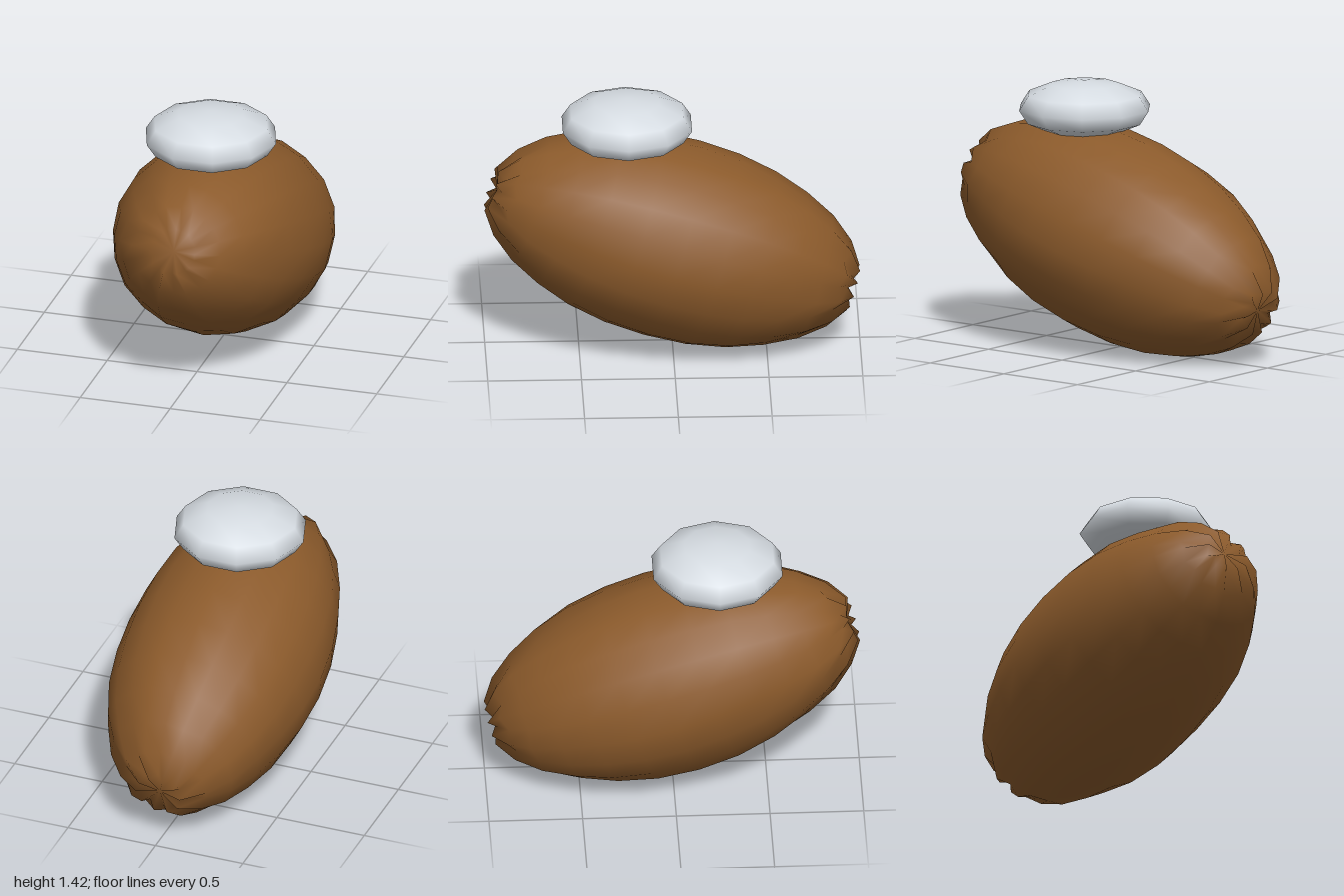
import * as THREE from 'three';
import { mergeVertices } from 'three/addons/utils/BufferGeometryUtils.js';

// Unit sphere pushed in and out by a rule, then stretched, with seamless smooth normals
function lumpySphere(cols, rows, size, bump) {
  let g = new THREE.SphereGeometry(1, cols, rows);
  g.deleteAttribute('uv');
  g.deleteAttribute('normal');
  g = mergeVertices(g, 1e-4);
  const p = g.attributes.position;
  const v = new THREE.Vector3();
  for (let i = 0; i < p.count; i++) {
    v.fromBufferAttribute(p, i);
    v.multiplyScalar(bump(v)).multiply(size);
    p.setXYZ(i, v.x, v.y, v.z);
  }
  g.computeVertexNormals();
  return g;
}

export function createModel() {
  const brown = new THREE.MeshStandardMaterial({ color: 0x8b5a2b });
  brown.name = 'brown';
  const paleGrey = new THREE.MeshStandardMaterial({ color: 0xd6dce2 });
  paleGrey.name = 'paleGrey';

  const model = new THREE.Group();
  model.name = 'lumpyBodyWithCap';

  // Long body: gentle lumps all over, puckered folds gathered at both ends
  const bodyBump = (v) => {
    const end = Math.abs(v.y);
    if (end > 0.999) return 0.965;
    const fold = 0.026 * Math.cos(10 * Math.atan2(v.z, v.x)) * end ** 4;
    const lump = 0.016 * Math.sin(7 * v.x + 2) * Math.sin(6 * v.z + 1) * Math.cos(5 * v.y);
    return 1 + fold + lump;
  };
  const bodyGeometry = lumpySphere(20, 14, new THREE.Vector3(0.55, 1.015, 0.542), bodyBump);
  bodyGeometry.rotateX(Math.PI / 2 - 0.305); // front end raised
  const body = new THREE.Mesh(bodyGeometry, brown);
  body.name = 'body';
  body.position.y = 0.6;
  model.add(body);

  // Flattened cap resting on the upper front
  const cap = new THREE.Mesh(
    lumpySphere(10, 6, new THREE.Vector3(0.362, 0.15, 0.362), () => 1), paleGrey);
  cap.name = 'cap';
  cap.position.set(0, 1.27, 0.242);
  model.add(cap);

  return model;
}
